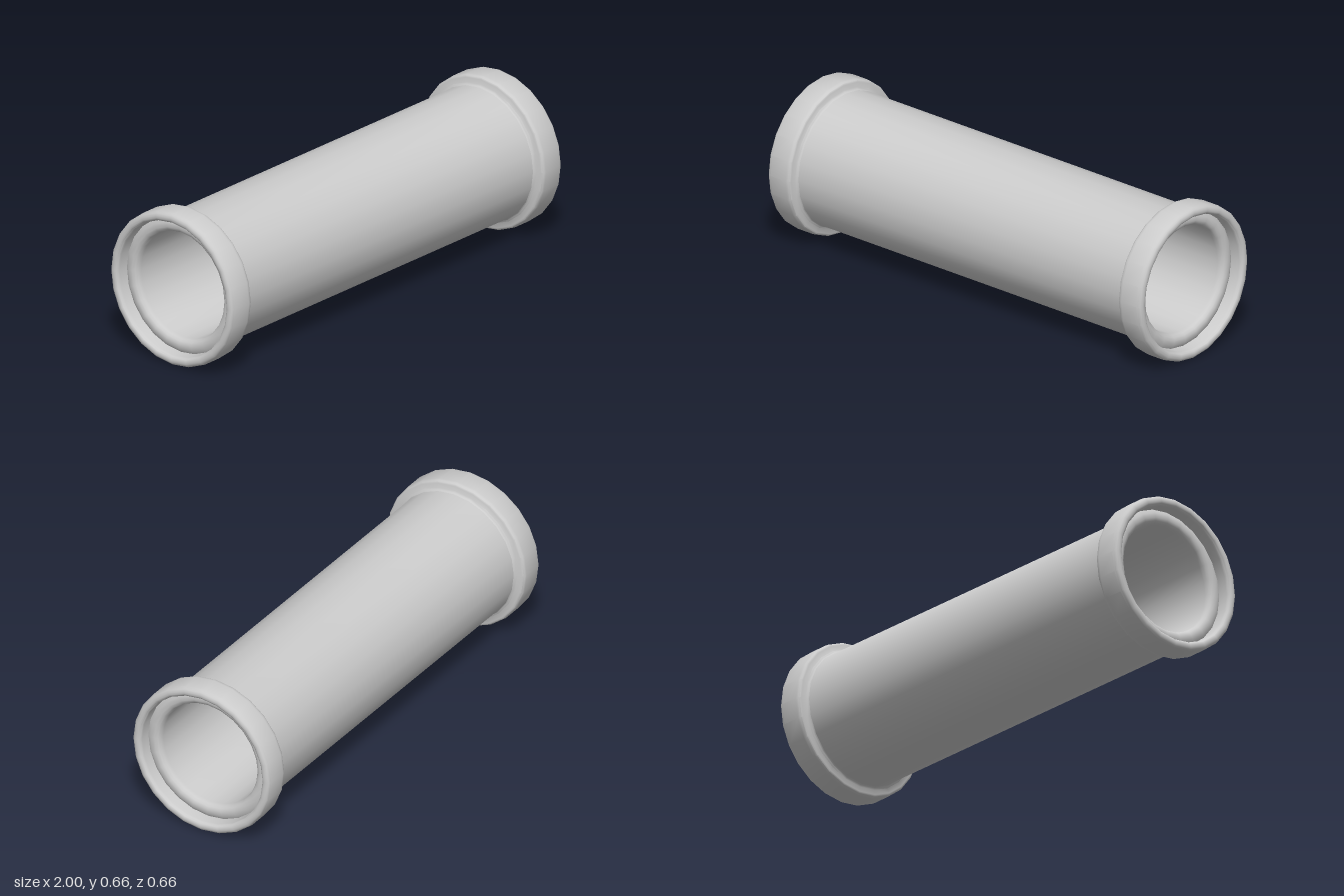
import * as THREE from 'three';
import { toCreasedNormals } from 'three/addons/utils/BufferGeometryUtils.js';

const SIDES = 24;
const AXIS_HEIGHT = 0.328;

// Revolve a [radius, x] outline around the x axis
function revolve(name, outline, material) {
  const points = outline.map(([r, x]) => new THREE.Vector2(r, x));
  const lathe = new THREE.LatheGeometry(points, SIDES);
  lathe.rotateZ(-Math.PI / 2);
  const mesh = new THREE.Mesh(toCreasedNormals(lathe, 0.65), material);
  mesh.name = name;
  return mesh;
}

export function createModel() {
  const group = new THREE.Group();
  group.name = 'pipe';
  const material = new THREE.MeshStandardMaterial({ color: 0xcccccc });

  // Hollow tube: bevelled outer rim and rounded inner rim at each end
  const end = [
    [0.284, 0.85], [0.287, 0.88], [0.287, 0.94], [0.269, 0.951],
    [0.25, 0.951], [0.238, 0.946], [0.231, 0.936], [0.228, 0.92],
  ];
  const start = end.map(([r, x]) => [r, -x]).reverse();
  group.add(revolve('tube', [...start, ...end, start[0]], material));

  // Rounded collar around each end, with a small fillet onto the tube
  const collar = [
    [0.286, 0.868], [0.289, 0.874], [0.296, 0.879], [0.316, 0.88],
    [0.323, 0.883], [0.327, 0.89], [0.328, 0.9], [0.328, 0.98],
    [0.326, 0.989], [0.321, 0.996], [0.312, 1], [0.302, 1],
    [0.295, 0.997], [0.29, 0.991], [0.288, 0.982], [0.286, 0.93],
  ];
  for (const side of [1, -1]) {
    const mesh = revolve(side > 0 ? 'leftCollar' : 'rightCollar', collar, material);
    if (side < 0) mesh.rotation.y = Math.PI;
    group.add(mesh);
  }

  group.position.y = AXIS_HEIGHT;
  const model = new THREE.Group();
  model.name = 'pipeSection';
  model.add(group);
  return model;
}
